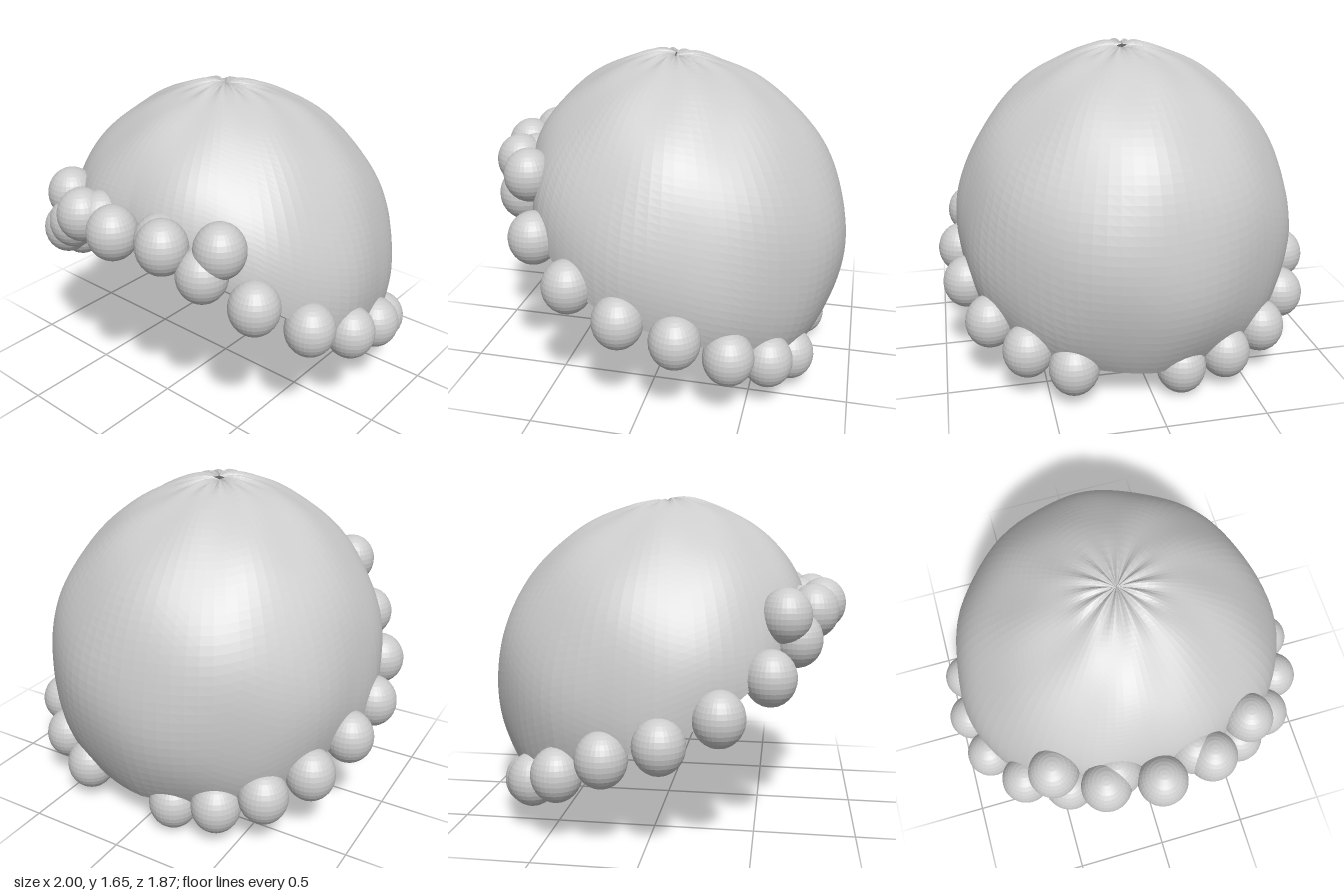
import * as THREE from 'three';

const grey = new THREE.MeshStandardMaterial({ color: 0xcccccc, flatShading: true, side: THREE.DoubleSide });
grey.name = 'plain grey';

const CENTRE_Y = 0.72;

// Slanted rim: angle from the front, polar angle from the crown, distance from the centre
const RIM = [
  [0, 69, 0.77], [33, 74, 0.81], [49, 82, 0.85], [67, 94, 0.875], [85, 102, 0.9],
  [103, 107, 0.9], [119, 112, 0.93], [135, 119, 0.945], [150, 124, 0.95], [180, 126, 0.96],
];

function rimAt(deg) {
  let i = 0;
  while (i < RIM.length - 2 && deg > RIM[i + 1][0]) i++;
  const [a, b] = [RIM[i], RIM[i + 1]];
  const t = (deg - a[0]) / (b[0] - a[0]);
  return { theta: THREE.MathUtils.degToRad(THREE.MathUtils.lerp(a[1], b[1], t)), radius: THREE.MathUtils.lerp(a[2], b[2], t) };
}

// Open dome, with vertices moved from a hemisphere onto the slanted shape
function createDome() {
  const geo = new THREE.SphereGeometry(1, 88, 44, 0, Math.PI * 2, 0, Math.PI / 2);
  const pos = geo.attributes.position;
  const uv = geo.attributes.uv;
  for (let i = 0; i < pos.count; i++) {
    const u = 1 - uv.getY(i);
    const a = Math.atan2(pos.getX(i), pos.getZ(i));
    const rim = rimAt(Math.abs(THREE.MathUtils.radToDeg(a)));
    const theta = u * rim.theta;
    const back = (1 - Math.cos(a)) / 2;
    const body = 0.89 - 0.02 * back + 0.035 * Math.exp(-Math.pow(theta / 0.5, 2));
    let r = THREE.MathUtils.lerp(body, rim.radius, Math.pow(u, 6 - 4.7 * back));
    // Gentle swirling waves and tight folds gathered at the crown
    const fade = Math.min(1, theta * 2);
    r += fade * (0.004 * Math.sin(9 * a + 5 * theta) + 0.003 * Math.sin(5 * a - 9 * theta + 1));
    r += 0.008 * Math.sin(14 * a) * Math.exp(-Math.pow((theta - 0.12) / 0.13, 2));
    r -= 0.012 * Math.exp(-Math.pow(theta / 0.06, 2));
    const h = r * Math.sin(theta);
    pos.setXYZ(i, h * Math.sin(a), CENTRE_Y + r * Math.cos(theta), h * Math.cos(a));
  }
  geo.computeVertexNormals();
  const dome = new THREE.Mesh(geo, grey);
  dome.name = 'dome';
  return dome;
}

// Balls of one half, mirrored to the other
const PAIRED_BALLS = [
  [0.2, 1.07, 0.71], [0.27, 1.085, 0.77], [0.44, 0.967, 0.69], [0.5, 1.09, 0.635],
  [0.65, 0.82, 0.57], [0.81, 0.66, 0.345], [0.875, 0.54, 0.08], [0.86, 0.46, -0.19],
  [0.765, 0.345, -0.43], [0.598, 0.255, -0.6], [0.385, 0.18, -0.69],
];
// Front middle ball and the lone ball at the back
const SINGLE_BALLS = [[0, 1.09, 0.82], [-0.15, 0.136, -0.71]];

function createRimBalls() {
  const group = new THREE.Group();
  group.name = 'rimBalls';
  const geo = new THREE.SphereGeometry(1, 32, 16).scale(0.125, 0.136, 0.125);
  const add = (x, y, z) => {
    const ball = new THREE.Mesh(geo, grey);
    ball.name = 'rimBall';
    ball.position.set(x, y, z);
    group.add(ball);
  };
  for (const [x, y, z] of PAIRED_BALLS) {
    add(x, y, z);
    add(-x, y, z);
  }
  for (const p of SINGLE_BALLS) add(...p);
  return group;
}

export function createModel() {
  const model = new THREE.Group();
  model.name = 'beadedCap';
  model.add(createDome(), createRimBalls());
  return model;
}
